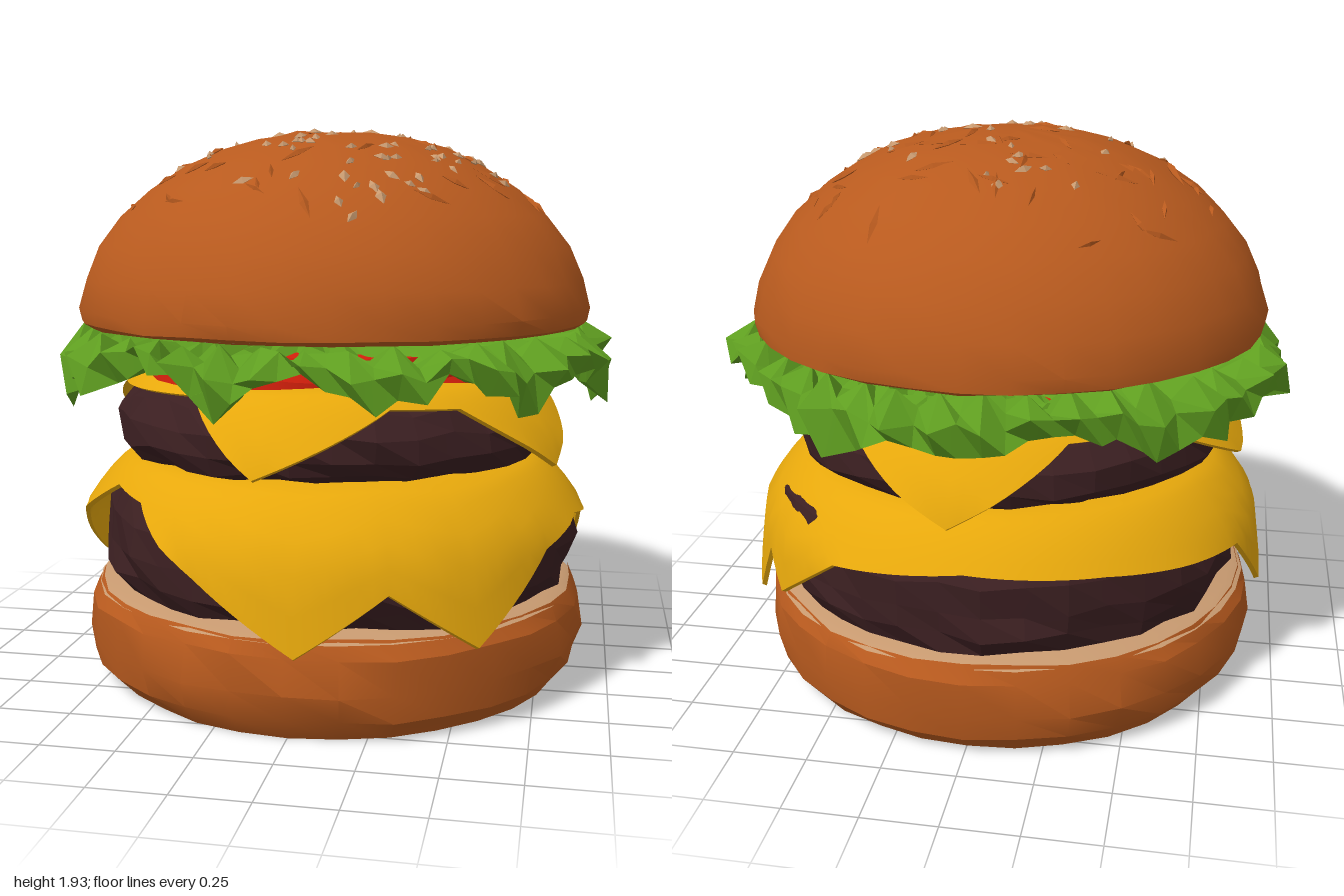
import * as THREE from 'three';
import { mergeGeometries, toCreasedNormals } from 'three/addons/utils/BufferGeometryUtils.js';

const mat = (name, color, side = THREE.FrontSide) => {
  const m = new THREE.MeshStandardMaterial({ color, side });
  m.name = name;
  return m;
};

// repeatable noise in -1..1 from a position
const noise = (x, y, z) => {
  const s = Math.sin(x * 12.9 + y * 78.2 + z * 37.7) * 4375.5;
  return 2 * (s - Math.floor(s)) - 1;
};

// small seeded random generator
const seeded = (s) => () => {
  s = (s * 16807) % 2147483647;
  return s / 2147483647;
};

// piecewise-linear lookup in a table of [key, value]
const lookup = (table, k) => {
  for (let i = 1; i < table.length; i++) {
    const [k0, v0] = table[i - 1], [k1, v1] = table[i];
    if (k <= k1) return v0 + ((v1 - v0) * (k - k0)) / (k1 - k0);
  }
  return table[table.length - 1][1];
};

// lookup around the circle, angles in degrees from +x towards +z
const around = (table, deg) => {
  const [k, v] = table[0];
  return lookup([...table, [k + 360, v]], k + ((((deg - k) % 360) + 360) % 360));
};

// sweep a top-to-bottom [radius, y] path round the axis; the path may change with angle
function ring(n, path, jitter = 0, crease = 0.6) {
  const pos = [], index = [];
  let rows = 0;
  for (let i = 0; i < n; i++) {
    const a = (i / n) * Math.PI * 2;
    const pts = path((i / n) * 360, i);
    rows = pts.length;
    for (const [r, y] of pts) {
      const x = r * Math.cos(a), z = r * Math.sin(a);
      const k = r > 0 ? 1 + (jitter * noise(x, y, z)) / r : 1;
      const lift = r > 0 && y > 0 ? jitter * 0.6 * noise(z, x, y) : 0;
      pos.push(x * k, y + lift, z * k);
    }
  }
  for (let i = 0; i < n; i++) {
    for (let j = 0; j < rows - 1; j++) {
      const a = i * rows + j, b = ((i + 1) % n) * rows + j;
      index.push(a, b, a + 1, b, b + 1, a + 1);
    }
  }
  const g = new THREE.BufferGeometry();
  g.setAttribute('position', new THREE.Float32BufferAttribute(pos, 3));
  g.setIndex(index);
  g.computeVertexNormals();
  return toCreasedNormals(g, crease);
}

// cheese hanging over a patty, its lower edge given by angle
function cheese(top, rTop, rSide, flare, edge) {
  return ring(120, (deg) => {
    const drop = top - around(edge, deg);
    const out = [0, 0.06, 0.15, 0.3, 0.5, 0.75, 1].map((f) => {
      const q = drop * f;
      const r = rTop + (rSide - rTop) * Math.sqrt(Math.min(1, q / 0.2)) + flare * q;
      return [r, top - q];
    });
    const under = out.map(([r, y]) => [r - 0.016, y - 0.008]).reverse();
    return [[0, top], ...out, ...under];
  }, 0, 0.7);
}

export function createModel() {
  const bun = mat('toasted bun', 0xb85a1e);
  const crumb = mat('bun crumb', 0xc89a70);
  const meat = mat('grilled meat', 0x3b1f21);
  const yellow = mat('cheese yellow', 0xe8a90c, THREE.DoubleSide);
  const green = mat('lettuce green', 0x5f9e20, THREE.DoubleSide);
  const red = mat('tomato red', 0xd8200c);

  const model = new THREE.Group();
  const add = (name, geometry, material, x = 0, z = 0) => {
    const m = new THREE.Mesh(geometry, material);
    m.name = name;
    m.position.set(x, 0, z);
    model.add(m);
    return m;
  };

  // bottom bun
  const base = [[0.86, 0.335], [0.89, 0.28], [0.9, 0.16], [0.88, 0.07], [0.82, 0], [0, 0]];
  add('bottomBun', ring(32, () => base, 0.01, 0.45), bun, 0, -0.02);
  add('bottomBunCrumb', ring(32, () => [[0, 0.342], [0.83, 0.34], [0.87, 0.322]], 0.005), crumb, 0, -0.02);

  // patties, rough and faceted
  const lower = [[0, 0.77], [0.58, 0.77], [0.72, 0.745], [0.8, 0.69], [0.845, 0.6],
    [0.855, 0.5], [0.845, 0.42], [0.81, 0.35], [0, 0.34]];
  const upper = [[0, 1.06], [0.6, 1.06], [0.72, 1.02], [0.775, 0.95], [0.775, 0.87],
    [0.74, 0.82], [0.63, 0.78], [0, 0.78]];
  add('lowerPatty', ring(38, () => lower, 0.022, 0.05), meat, 0.015, -0.02);
  add('upperPatty', ring(36, () => upper, 0.02, 0.05), meat);

  // cheese slices
  add('lowerCheese', cheese(0.8, 0.68, 0.875, 0.14, [
    [-90, 0.65], [-60, 0.6], [-42, 0.4], [-33, 0.5], [-27, 0.31], [-9, 0.57], [12, 0.62],
    [30, 0.56], [51, 0.31], [69, 0.5], [87, 0.31], [108, 0.52], [129, 0.7], [144, 0.72],
    [165, 0.55], [186, 0.33], [201, 0.57], [240, 0.63],
  ]), yellow);
  add('upperCheese', cheese(1.09, 0.66, 0.81, 0.28, [
    [-87, 0.81], [-57, 1.04], [0, 1.05], [24, 0.82], [48, 1.03], [66, 1.04], [96, 0.84],
    [117, 1.06], [168, 1.04], [195, 0.87], [222, 1.04], [246, 1.04],
  ]), yellow);

  // tomato slices
  [115, 72, 20, -35, -110, 180].forEach((deg, i) => {
    const a = THREE.MathUtils.degToRad(deg);
    const t = add('tomatoSlice', new THREE.CylinderGeometry(0.37, 0.38, 0.075, 20), red,
      0.4 * Math.cos(a), 0.4 * Math.sin(a));
    t.position.y = 1.135 + (i % 2) * 0.025 + i * 0.002;
  });

  // crumpled lettuce, drooping in clumps with gaps between
  const leafEdge = [[-80, 1.09], [-60, 1.04], [-46, 1.1], [-32, 1.16], [-20, 1.15], [-4, 0.98],
    [10, 1.02], [20, 1.16], [37, 1.01], [47, 1.08], [58, 1.15], [68, 1.06], [78, 1.1], [86, 1.18],
    [94, 1.14], [102, 1.0], [109, 1.1], [117, 1.18], [125, 1.15], [135, 1.07], [150, 1.12],
    [168, 0.94], [180, 1.0], [200, 1.12], [230, 1.02], [248, 1.12], [265, 1.07]];
  add('lettuce', ring(80, (deg, i) => {
    const z = i % 2 ? 1 : -1;
    const e = around(leafEdge, deg);
    const w = 0.025 * Math.cos(deg * Math.PI / 90) + 0.035 * noise(i, 1, 2);
    return [
      [0.45, 1.22],
      [0.7 + w, 1.205 + 0.02 * z],
      [0.8 + w, 1.2 + 0.03 * noise(i, 4, 1)],
      [0.87 + w - 0.015 * z, 1.215 + 0.03 * z],
      [0.945 + w + 0.02 * z, (1.22 + e) / 2 + 0.02 + 0.03 * noise(i, 2, 7)],
      [0.935 + w - 0.02 * z, e + 0.03 * noise(i, 3, 5)],
      [0.87 + w, (1.18 + e) / 2 + 0.02 * z],
      [0.79, 1.195],
    ];
  }, 0.018, 0.1), green);

  // top bun
  const dome = [[0, 1.915], [0.13, 1.91], [0.27, 1.89], [0.4, 1.855], [0.53, 1.795], [0.65, 1.715],
    [0.75, 1.625], [0.83, 1.52], [0.88, 1.41], [0.905, 1.31], [0.9, 1.265], [0.87, 1.25]];
  add('topBun', ring(36, () => dome, 0.006), bun);
  add('topBunCrumb', ring(36, () => [[0.885, 1.256], [0.8, 1.245], [0, 1.245]], 0.003), crumb);

  // seeds and crust flakes scattered over the dome, shifted by (dx, dz)
  const rand = seeded(77);
  const crown = dome.slice(0, 9);
  const up = new THREE.Vector3(0, 1, 0);
  const scatter = (count, length, height, width, reach, dx, dz) => {
    const list = [];
    for (let i = 0; i < count; i++) {
      const a = rand() * Math.PI * 2, d = Math.sqrt(rand()) * reach;
      const x = d * Math.cos(a) + dx, z = d * Math.sin(a) + dz;
      const r = Math.hypot(x, z);
      const slope = (lookup(crown, r + 0.02) - lookup(crown, Math.max(0, r - 0.02))) / 0.04;
      const normal = new THREE.Vector3((-slope * x) / r, 1, (-slope * z) / r).normalize();
      const q = new THREE.Quaternion().setFromUnitVectors(up, normal);
      q.multiply(new THREE.Quaternion().setFromAxisAngle(up, rand() * Math.PI * 2));
      const s = 0.6 + 0.6 * rand();
      const m = new THREE.Matrix4().compose(
        new THREE.Vector3(x, lookup(crown, r), z), q,
        new THREE.Vector3(length * s, height, width * s));
      list.push(new THREE.OctahedronGeometry(1).applyMatrix4(m));
    }
    return mergeGeometries(list);
  };
  add('seeds', scatter(40, 0.03, 0.014, 0.016, 0.6, 0.02, 0.03), crumb);
  add('frontSeeds', scatter(25, 0.03, 0.014, 0.016, 0.33, 0.15, 0.4), crumb);
  add('crustFlakes', scatter(65, 0.065, 0.012, 0.012, 0.72, 0, 0), bun);

  return model;
}
